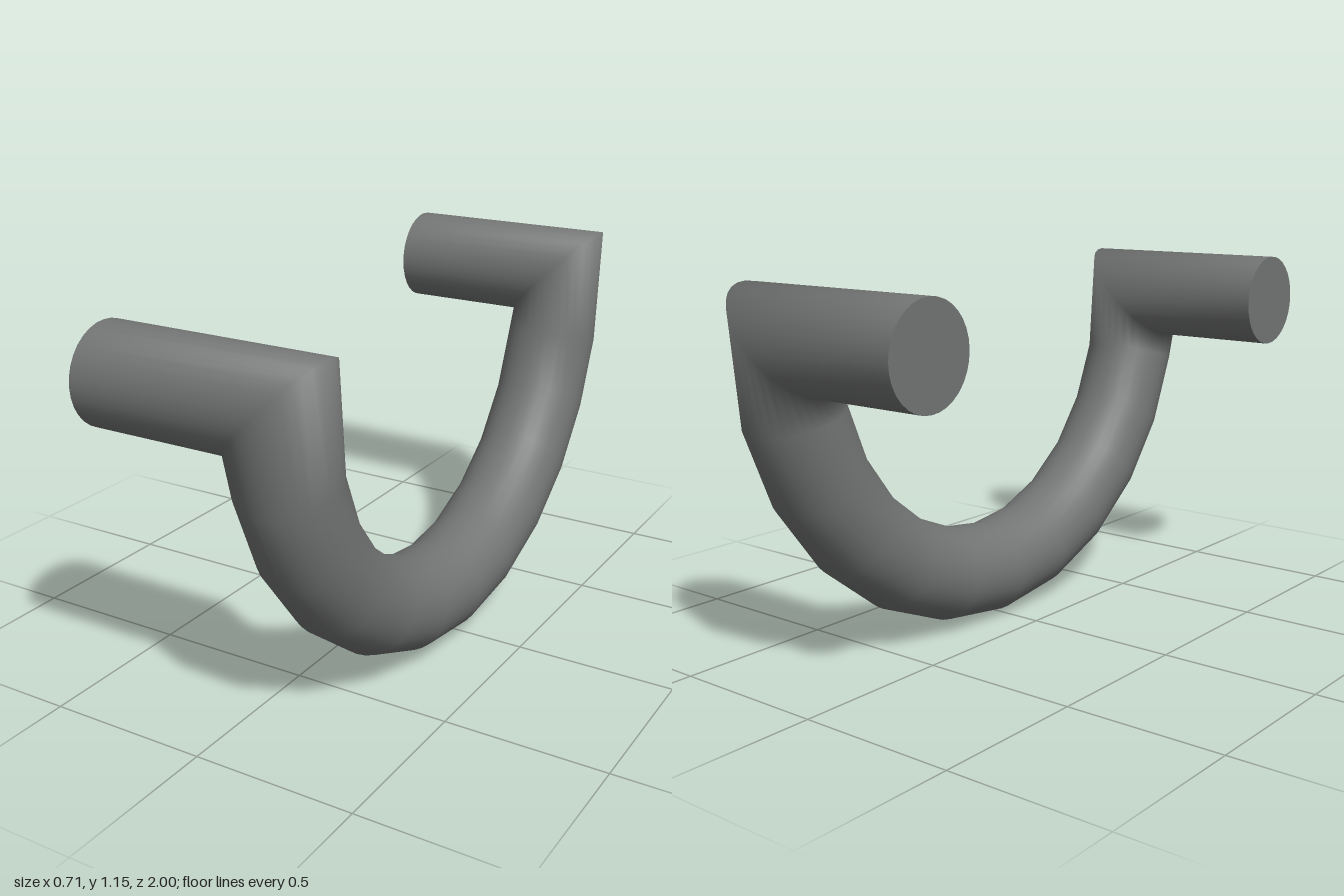
import * as THREE from 'three';

const SIDES = 32, STEPS = 12;
const TUBE = 0.149, BEND = 0.851, ARC_X = 0.205, ARC_Y = 1.0;
const FRONT_END = -0.355, BACK_END = -0.333;

// One closed ring of the sweep, from a rule giving a point for (cos, sin)
function addRing(positions, pointAt) {
  for (let j = 0; j < SIDES; j++) {
    const t = (j / SIDES) * Math.PI * 2;
    positions.push(...pointAt(TUBE * Math.cos(t), TUBE * Math.sin(t)));
  }
}

// Straight end, mitred corner, half-circle bend, mitred corner, straight end
function barGeometry() {
  const positions = [], index = [];
  addRing(positions, (c, s) => [FRONT_END, ARC_Y + c, BEND + s]);
  for (let i = 0; i <= STEPS; i++) {
    const a = (i / STEPS) * Math.PI;
    const mitre = i === 0 || i === STEPS ? 1 : 0;
    addRing(positions, (c, s) => [
      ARC_X + c,
      ARC_Y - (BEND + s) * Math.sin(a) + mitre * c,
      (BEND + s) * Math.cos(a),
    ]);
  }
  addRing(positions, (c, s) => [BACK_END, ARC_Y + c, -BEND - s]);

  const rings = positions.length / 3 / SIDES;
  for (let i = 0; i < rings - 1; i++) {
    for (let j = 0; j < SIDES; j++) {
      const k = (j + 1) % SIDES;
      const a = i * SIDES + j, b = i * SIDES + k;
      const c = a + SIDES, d = b + SIDES;
      index.push(a, b, c, b, d, c);
    }
  }
  const geometry = new THREE.BufferGeometry();
  geometry.setAttribute('position', new THREE.Float32BufferAttribute(positions, 3));
  geometry.setIndex(index);
  geometry.computeVertexNormals();
  return geometry;
}

export function createModel() {
  const group = new THREE.Group();
  group.name = 'bentHandle';
  const steel = new THREE.MeshStandardMaterial({ color: 0x737574 });
  steel.name = 'grey steel';

  const bar = new THREE.Mesh(barGeometry(), steel);
  bar.name = 'bentBar';
  group.add(bar);

  // Flat discs closing the two straight ends
  for (const [name, x, z] of [['frontEndCap', FRONT_END, BEND], ['backEndCap', BACK_END, -BEND]]) {
    const cap = new THREE.Mesh(new THREE.CircleGeometry(TUBE, SIDES), steel);
    cap.name = name;
    cap.rotation.y = -Math.PI / 2;
    cap.position.set(x, ARC_Y, z);
    group.add(cap);
  }
  return group;
}
